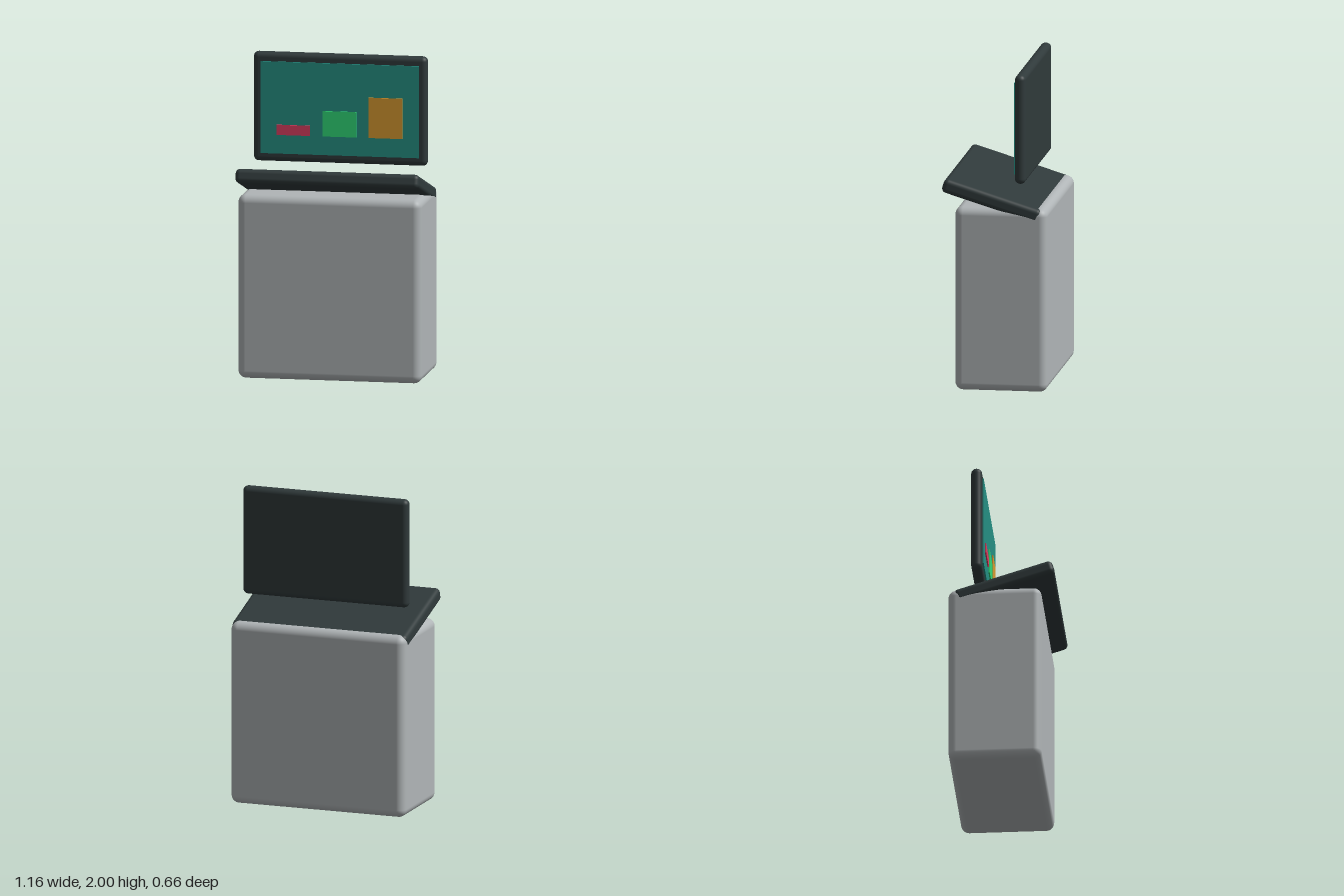
import * as THREE from 'three';
import { RoundedBoxGeometry } from 'three/addons/geometries/RoundedBoxGeometry.js';

const paint = (name, color) => {
  const m = new THREE.MeshStandardMaterial({ color });
  m.name = name;
  return m;
};

export function createModel() {
  const grey = paint('light grey', 0xb0b5b7);
  const dark = paint('charcoal', 0x303a3b);
  const teal = paint('teal', 0x259084);
  const red = paint('red', 0xde3e62);
  const green = paint('green', 0x30d878);
  const amber = paint('amber', 0xd79930);

  const group = new THREE.Group();
  group.name = 'smartBin';

  const add = (name, geometry, material, x, y, z) => {
    const mesh = new THREE.Mesh(geometry, material);
    mesh.name = name;
    mesh.position.set(x, y, z);
    group.add(mesh);
    return mesh;
  };

  // Container
  add('body', new RoundedBoxGeometry(1.16, 1.16, 0.58, 5, 0.05), grey, 0, 0.58, -0.04);

  // Lid, hinged at the back and half open
  const lid = add('lid', new RoundedBoxGeometry(1.162, 0.09, 0.64, 5, 0.03), dark, 0, 1.203, 0.019);
  lid.rotation.x = -0.3;

  // Display floating above the lid
  add('screenFrame', new RoundedBoxGeometry(1.1, 0.69, 0.068, 5, 0.033), dark, 0, 1.655, -0.156);
  add('screenPanel', new THREE.BoxGeometry(1.0, 0.58, 0.009), teal, 0, 1.653, -0.1175);

  // Bar chart: material, centre x, height; all bars share one baseline
  const bars = [
    ['leftBar', red, -0.293, 0.064],
    ['middleBar', green, 0, 0.16],
    ['rightBar', amber, 0.29, 0.254],
  ];
  for (const [name, material, x, height] of bars) {
    add(name, new THREE.BoxGeometry(0.212, height, 0.009), material, x, 1.482 + height / 2, -0.1095);
  }

  return group;
}
